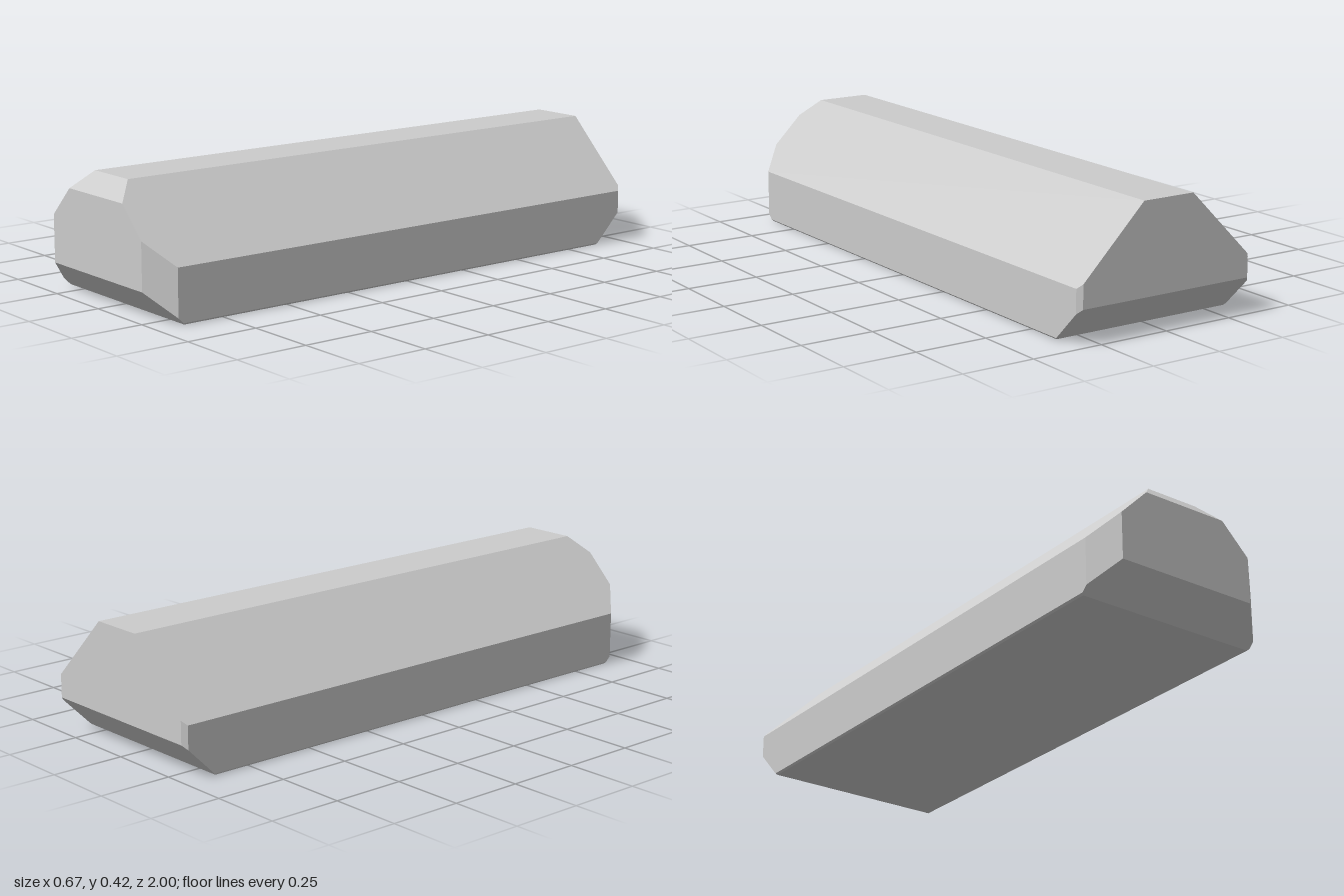
import * as THREE from 'three';
import { ConvexGeometry } from 'three/addons/geometries/ConvexGeometry.js';

// Corners of the left half (+x); the right half is mirrored.
const corners = [
  // front face
  [0.256, 0.103, 1], [0.256, 0.263, 1], [0.155, 0.364, 1],
  // front chamfers: top, side, underside
  [0.095, 0.424, 0.94], [0.335, 0.184, 0.921], [0.335, 0.024, 0.921],
  [0.335, 0.006, 0.903], [0.329, 0, 0.897],
  // back face
  [0.095, 0.424, -1], [0.32, 0.199, -1], [0.32, 0.12, -1],
  // back chamfers: side, underside
  [0.335, 0.184, -0.985], [0.335, 0.105, -0.985],
  [0.335, 0.006, -0.886], [0.329, 0, -0.88],
];

export function createModel() {
  const group = new THREE.Group();
  group.name = 'chamferedBar';
  const points = corners.flatMap(([x, y, z]) => [
    new THREE.Vector3(x, y, z),
    new THREE.Vector3(-x, y, z),
  ]);
  const body = new THREE.Mesh(
    new ConvexGeometry(points),
    new THREE.MeshStandardMaterial({ color: 0xcccccc, flatShading: true }),
  );
  body.name = 'body';
  group.add(body);
  return group;
}
